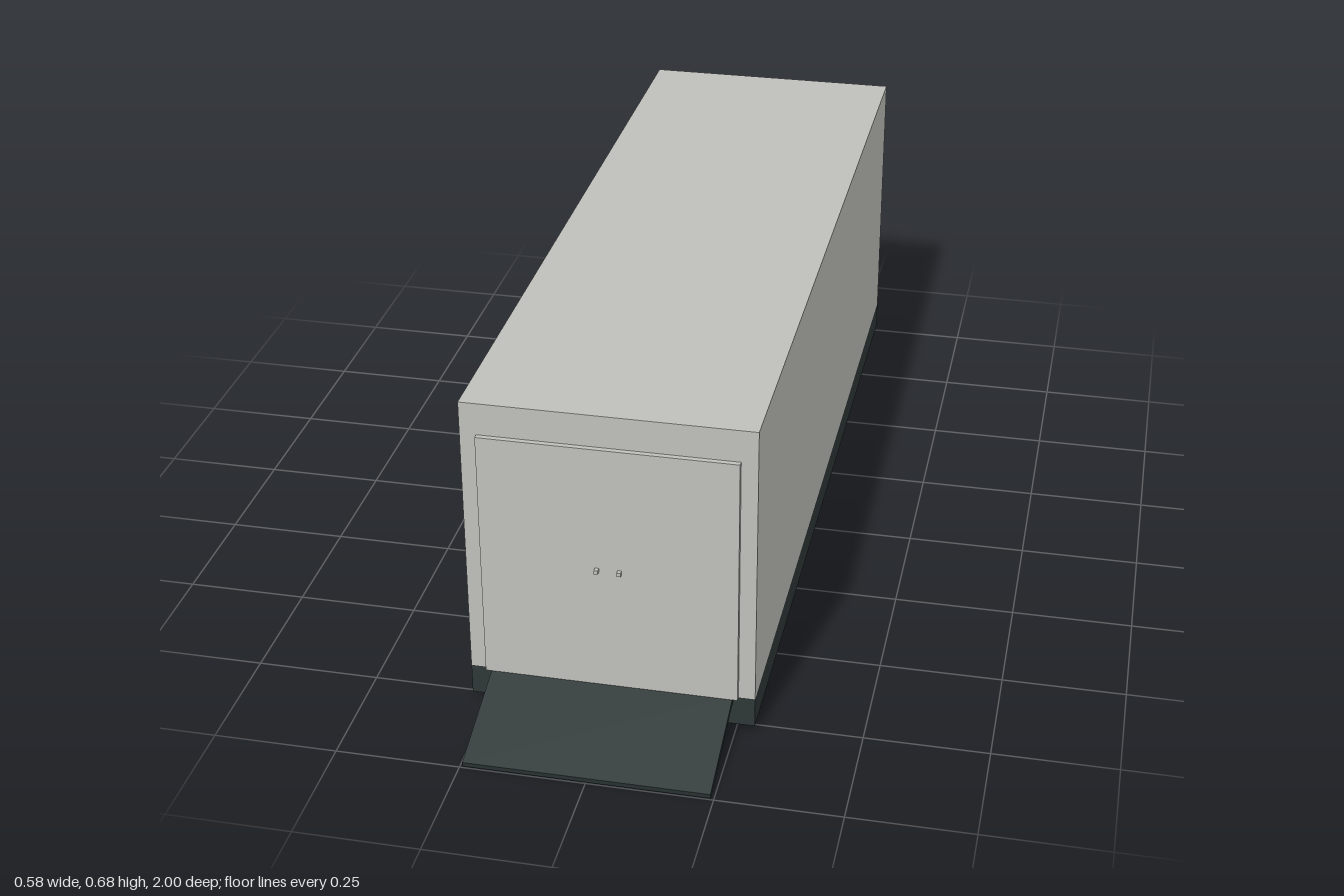
import * as THREE from 'three';

const panel = new THREE.MeshStandardMaterial({ color: 0xbfc0ba });
panel.name = 'pale grey panel';
const steel = new THREE.MeshStandardMaterial({ color: 0x2e3837 });
steel.name = 'dark steel';

export function createModel() {
  const model = new THREE.Group();
  model.name = 'container';

  // Box given by its min and max corners
  const box = (name, material, [x0, y0, z0], [x1, y1, z1]) => {
    const mesh = new THREE.Mesh(new THREE.BoxGeometry(x1 - x0, y1 - y0, z1 - z0), material);
    mesh.position.set((x0 + x1) / 2, (y0 + y1) / 2, (z0 + z1) / 2);
    mesh.name = name;
    model.add(mesh);
    return mesh;
  };

  // Long body on its dark base
  box('body', panel, [-0.288, 0.079, -1], [0.288, 0.679, 0.775]);
  box('base', steel, [-0.288, 0.015, -1], [0.288, 0.079, 0.775]);

  // Raised double door with a pair of small handles
  box('door', panel, [-0.255, 0.079, 0.775], [0.255, 0.612, 0.786]);
  for (const x of [-0.0225, 0.0225]) {
    box('doorHandle', panel, [x - 0.004, 0.342, 0.786], [x + 0.004, 0.35, 0.796]);
  }

  // Entry ramp sloping down from the door sill to the ground
  const thickness = 0.0125, drop = 0.068, run = 0.225;
  const slope = Math.atan2(drop, run);
  const rampShape = new THREE.BoxGeometry(0.488, thickness, Math.hypot(drop, run));
  rampShape.translate(0, -thickness / 2, 0);
  const ramp = new THREE.Mesh(rampShape, steel);
  ramp.rotation.x = slope;
  ramp.position.set(0, 0.012 + drop / 2, 1 - run / 2);
  ramp.name = 'ramp';
  model.add(ramp);

  return model;
}
